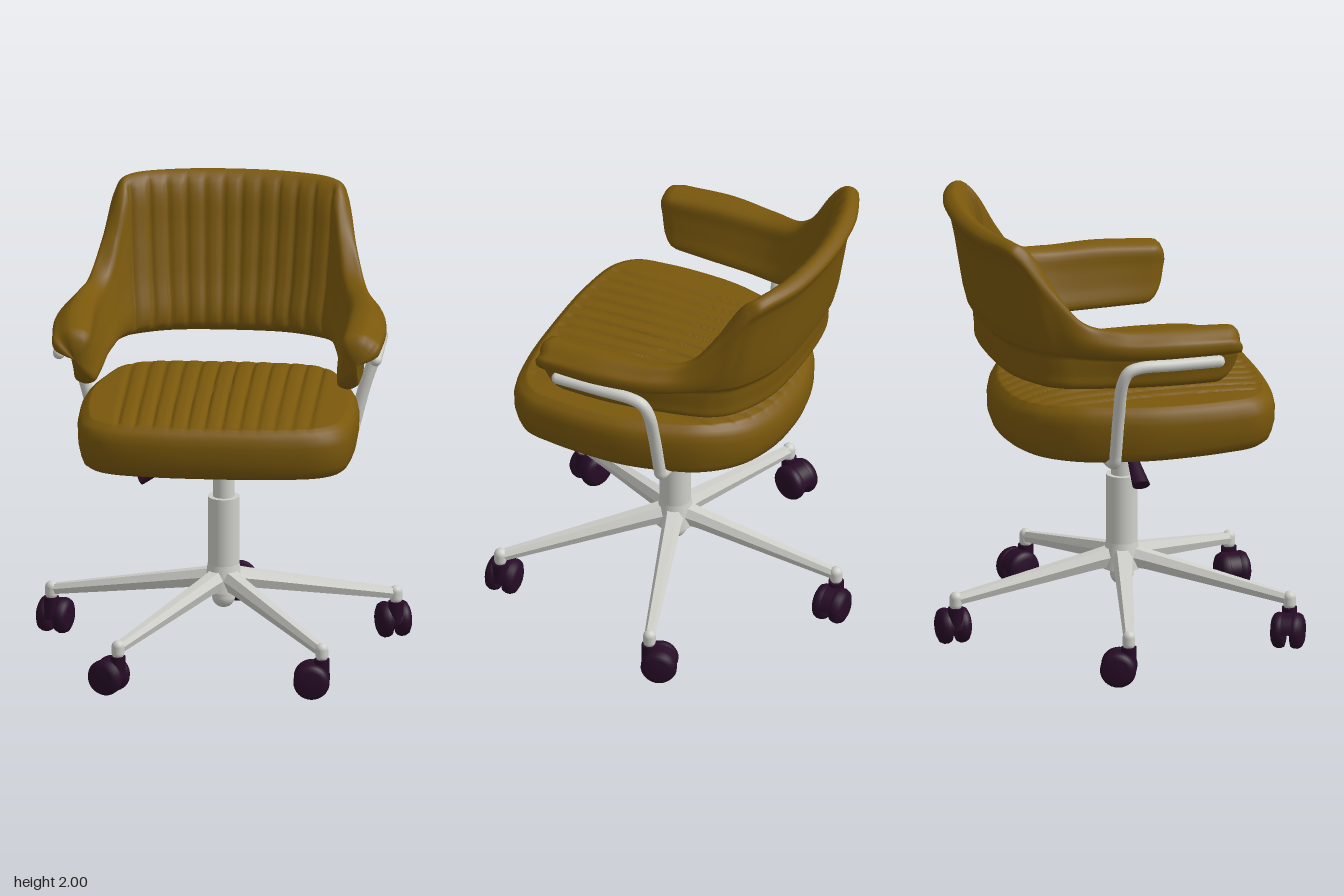
import * as THREE from 'three';
import { toCreasedNormals } from 'three/addons/utils/BufferGeometryUtils.js';

const V = (x, y, z) => new THREE.Vector3(x, y, z);
const { clamp, lerp } = THREE.MathUtils;
const leather = new THREE.MeshStandardMaterial({ color: 0x7a580c });
leather.name = 'mustard leather';
const metal = new THREE.MeshStandardMaterial({ color: 0xcfcfca });
metal.name = 'light metal';
const plastic = new THREE.MeshStandardMaterial({ color: 0x270c27 });
plastic.name = 'dark plastic';

const CX = 0.01, CZ = 0.065; // swivel axis
const PITCH = 0.077;         // width of one upholstery channel
const groove = x => Math.pow(1 - Math.abs(Math.cos(Math.PI * x / PITCH)), 2) * clamp((0.48 - Math.abs(x)) / 0.03, 0, 1);

function add(parent, name, geometry, material, x = 0, y = 0, z = 0) {
  const mesh = new THREE.Mesh(geometry, material);
  mesh.name = name;
  mesh.position.set(x, y, z);
  parent.add(mesh);
  return mesh;
}

// Skin through closed rings of points, turned so that faces point outward
function loft(rings) {
  const n = rings[0].length, pts = rings.flat(), index = [];
  for (let i = 0; i < rings.length - 1; i++) {
    for (let j = 0; j < n; j++) {
      const k = (j + 1) % n, a = i * n + j, b = i * n + k, c = a + n, d = b + n;
      index.push(a, b, d, a, d, c);
    }
  }
  const mid = pts.reduce((s, p) => s.add(p), V(0, 0, 0)).divideScalar(pts.length);
  const rel = pts.map(p => p.clone().sub(mid));
  let volume = 0;
  for (let i = 0; i < index.length; i += 3) {
    volume += rel[index[i]].dot(V(0, 0, 0).crossVectors(rel[index[i + 1]], rel[index[i + 2]]));
  }
  if (volume < 0) index.reverse();
  const geo = new THREE.BufferGeometry().setFromPoints(pts);
  geo.setIndex(index);
  geo.computeVertexNormals();
  return geo;
}

function rod(parent, name, a, b, ra, rb, material) {
  const mesh = add(parent, name, new THREE.CylinderGeometry(rb, ra, a.distanceTo(b), 20), material);
  mesh.position.copy(a).add(b).multiplyScalar(0.5);
  mesh.quaternion.setFromUnitVectors(V(0, 1, 0), b.clone().sub(a).normalize());
  return mesh;
}

// Channelled seat cushion, built from scaled copies of its outline
function seatGeometry() {
  const half = [[0.3, 0.662], [0.5, 0.618], [0.583, 0.54], [0.61, 0.4], [0.618, 0.25], [0.607, 0.05],
    [0.562, -0.13], [0.49, -0.3], [0.36, -0.435], [0.18, -0.505]];
  const outline = [[0, 0.675], ...half, [0, -0.522], ...half.slice().reverse().map(([x, z]) => [-x, z])];
  const curve = new THREE.CatmullRomCurve3(outline.map(([x, z]) => V(x, 0, z)), true);
  const edge = curve.getSpacedPoints(360).slice(0, 360);
  const levels = [];
  for (let i = 0; i <= 60; i++) {
    const s = 0.93 * i / 60;
    levels.push([s, 1.228 - 0.026 * s * s, clamp((0.93 - s) / 0.06, 0.25, 1)]);
  }
  levels.push([0.935, 1.197, 0.1], [0.965, 1.188, 0], [0.988, 1.165, 0], [1, 1.13, 0], [0.997, 1.07, 0],
    [0.98, 1.005, 0], [0.962, 0.975, 0], [0.93, 0.958, 0], [0.85, 0.953, 0], [0, 0.953, 0]);
  return loft(levels.map(([s, y, rib]) => edge.map(p => {
    const x = p.x * s, z = 0.08 + (p.z - 0.08) * s;
    const slope = y < 1.05 ? 0.03 * z : -0.6 * Math.pow(Math.max(0, -z - 0.22), 2);
    return V(x, y + slope - 0.016 * rib * groove(x), z);
  })));
}

// Wrap-around backrest and arms: one section carried round a U
function backGeometry() {
  // inner bottom x z, outer bottom x z, inner top x z, outer top x z, top height
  const keys = [
    [0, -0.44, 0, -0.55, 0, -0.61, 0, -0.705, 2.0],
    [0.22, -0.425, 0.27, -0.53, 0.25, -0.585, 0.27, -0.68, 2.0],
    [0.38, -0.36, 0.45, -0.45, 0.42, -0.535, 0.465, -0.605, 1.995],
    [0.44, -0.29, 0.53, -0.36, 0.47, -0.475, 0.518, -0.54, 1.95],
    [0.47, -0.22, 0.565, -0.26, 0.5, -0.38, 0.56, -0.42, 1.78],
    [0.49, -0.13, 0.59, -0.14, 0.535, -0.27, 0.62, -0.29, 1.635],
    [0.505, -0.02, 0.61, -0.02, 0.57, -0.12, 0.695, -0.12, 1.597],
    [0.515, 0.15, 0.625, 0.15, 0.575, 0.12, 0.734, 0.12, 1.595],
    [0.53, 0.32, 0.62, 0.32, 0.565, 0.375, 0.726, 0.375, 1.582],
  ];
  const all = [...keys.slice(1).reverse().map(k => k.map((v, i) => (i < 8 && i % 2 === 0 ? -v : v))), ...keys];
  const rails = [0, 2, 4, 6].map(i => new THREE.CatmullRomCurve3(all.map(k => V(k[i], k[8], k[i + 1])), false, 'catmullrom'));
  const y0 = 1.31, rings = [], steps = 320;
  for (let i = 0; i <= steps; i++) {
    const [ib, ob, it, ot] = rails.map(r => r.getPoint(i / steps));
    const top = it.y, arm = clamp((2 - top) / 0.4, 0, 1); // 0 at the back, 1 on the arms
    const at = (a, b, w, y) => a.clone().lerp(b, w).setY(y);
    const inner = h => at(ib, it, h, y0 + h * (top - y0));
    const h = y => (y - y0) / (top - y0);
    const lower = y => at(ob, ot, 0.5 * h(y), y);
    const upper = (y, k) => at(ob, ot, k * (1 - Math.pow(1 - h(y), 1 + 1.6 * arm)), y);
    const loop = new THREE.CatmullRomCurve3([
      inner(0.07), inner(0.35), inner(0.65), inner(0.92),
      at(it, ot, 0.5, top),
      upper(top - 0.03, lerp(1.05, 0.75, arm)),
      upper(lerp(1.49, top, lerp(0.78, 0.45, arm)), lerp(0.93, 1, arm)),
      upper(lerp(1.505, 1.485, arm), 1),
      lower(lerp(1.47, 1.455, arm)), lower(1.435), lower(1.38), lower(1.33),
      at(ib, ob, 0.5, y0 - 0.002)], true);
    const out = ob.clone().sub(ib).setY(0).normalize();
    const x = (ib.x + it.x) / 2, dip = Math.abs(x) < 0.44 ? 0.016 * groove(x) : 0;
    const ring = [];
    for (let j = 0; j < 52; j++) {
      const p = loop.getPoint(j / 52);
      ring.push(p.addScaledVector(out, dip * clamp((3.6 - j / 4) / 0.6, 0, 1)));
    }
    rings.push(ring);
  }
  // rounded arm fronts
  const cap = ring => [0.3, 0.55, 0.75, 0.9, 0.97, 1].map(e => {
    const c = ring.reduce((s, p) => s.add(p), V(0, 0, 0)).divideScalar(ring.length);
    return ring.map(p => p.clone().sub(c).multiplyScalar(Math.sqrt(1 - e * e)).add(c).add(V(0, 0, 0.075 * e)));
  });
  return loft([...cap(rings[0]).reverse(), ...rings, ...cap(rings[steps])]);
}

// Twin-wheel caster trailing along its local +x
function caster(trailX, trailZ) {
  const group = new THREE.Group();
  group.name = 'caster';
  group.rotation.y = Math.atan2(-trailZ, trailX);
  const profile = [[0, -0.031], [0.052, -0.03], [0.072, -0.02], [0.08, -0.004], [0.08, 0.012], [0.074, 0.026], [0.06, 0.03], [0, 0.03]];
  const wheel = new THREE.LatheGeometry(profile.map(([r, y]) => new THREE.Vector2(r, y)), 32).rotateX(Math.PI / 2);
  for (const s of [-1, 1]) {
    const mesh = add(group, 'casterWheel', wheel, plastic, 0.045, 0.08, s * 0.042);
    if (s > 0) mesh.rotation.y = Math.PI;
  }
  const hood = new THREE.CylinderGeometry(0.077, 0.077, 0.05, 32, 1, false, 0, Math.PI).rotateX(Math.PI / 2).rotateZ(Math.PI / 2);
  add(group, 'casterHood', hood, plastic, 0.045, 0.08, 0);
  add(group, 'casterBody', new THREE.BoxGeometry(0.1, 0.05, 0.04), plastic, 0.035, 0.095, 0);
  add(group, 'casterStem', new THREE.CylinderGeometry(0.034, 0.034, 0.1, 20), plastic, 0, 0.125, 0);
  return group;
}

// Tapering base leg running along +z
function legGeometry(length) {
  return toCreasedNormals(loft([[0.02, 0.05, 0.305, 0.395], [0.12, 0.042, 0.295, 0.372], [length, 0.024, 0.19, 0.235]].map(([z, w, lo, hi]) => [
    V(-w * 0.7, lo, z), V(w * 0.7, lo, z), V(w, lo + (hi - lo) * 0.55, z), V(w * 0.55, hi, z),
    V(-w * 0.55, hi, z), V(-w, lo + (hi - lo) * 0.55, z)])), 0.6);
}

export function createModel() {
  const chair = new THREE.Group();
  chair.name = 'officeChair';
  add(chair, 'seat', seatGeometry(), leather);
  add(chair, 'backrestAndArms', backGeometry(), leather);

  // Bent tube carrying both arms
  const side = [[0.7, 1.442, 0.31], [0.7, 1.442, 0.1], [0.7, 1.442, -0.05], [0.697, 1.425, -0.1], [0.683, 1.37, -0.125],
    [0.625, 1.2, -0.127], [0.575, 1.01, -0.127], [0.562, 0.968, -0.127], [0.52, 0.952, -0.127], [0.3, 0.949, -0.127]];
  const path = [...side.map(p => V(...p)), ...side.slice().reverse().map(([x, y, z]) => V(-x, y, z))];
  add(chair, 'armTube', new THREE.TubeGeometry(new THREE.CatmullRomCurve3(path), 260, 0.027, 14), metal);
  for (const s of [-1, 1]) {
    add(chair, 'armTubeEnd', new THREE.SphereGeometry(0.027, 16, 12), metal, s * 0.7, 1.442, 0.31);
  }
  add(chair, 'tubeClamp', new THREE.BoxGeometry(0.22, 0.06, 0.08), plastic, 0, 0.95, -0.13);

  // Tilt mechanism and height lever
  const plate = new THREE.CylinderGeometry(0.35, 0.09, 0.08, 4).rotateY(Math.PI / 4).scale(1, 1, 0.84);
  add(chair, 'mechanism', toCreasedNormals(plate, 0.5), plastic, CX, 0.927, CZ);
  add(chair, 'mechanismCollar', new THREE.CylinderGeometry(0.06, 0.06, 0.04, 32), plastic, CX, 0.9, CZ);
  rod(chair, 'leverRod', V(-0.06, 0.95, 0.05), V(-0.26, 0.84, 0.05), 0.011, 0.011, plastic);
  rod(chair, 'leverHandle', V(-0.2, 0.873, 0.05), V(-0.36, 0.782, 0.05), 0.014, 0.025, plastic).scale.z = 1.6;

  // Gas column and hub
  add(chair, 'columnUpper', new THREE.CylinderGeometry(0.048, 0.048, 0.2, 32), metal, CX, 0.8, CZ);
  add(chair, 'columnLower', new THREE.CylinderGeometry(0.07, 0.07, 0.32, 32), metal, CX, 0.56, CZ);
  add(chair, 'hub', new THREE.CylinderGeometry(0.07, 0.09, 0.12, 32), metal, CX, 0.35, CZ);
  add(chair, 'hubFoot', new THREE.CapsuleGeometry(0.052, 0.06, 8, 24), metal, CX, 0.288, CZ);

  // Five legs from the back round: end x z, caster heading x z
  const legs = [[-0.025, -0.705, 1, 0], [0.755, -0.165, -0.35, -0.94], [0.49, 0.69, -1, 0.05],
    [-0.41, 0.715, -0.9, -0.4], [-0.765, -0.12, 0.33, -0.94]];
  for (const [x, z, tx, tz] of legs) {
    const leg = legGeometry(Math.hypot(x - CX, z - CZ));
    add(chair, 'baseLeg', leg, metal, CX, 0, CZ).rotation.y = Math.atan2(x - CX, z - CZ);
    add(chair, 'legEnd', new THREE.CapsuleGeometry(0.028, 0.03, 6, 16), metal, x, 0.205, z);
    const c = caster(tx, tz);
    c.position.set(x, 0, z);
    chair.add(c);
  }
  return chair;
}
